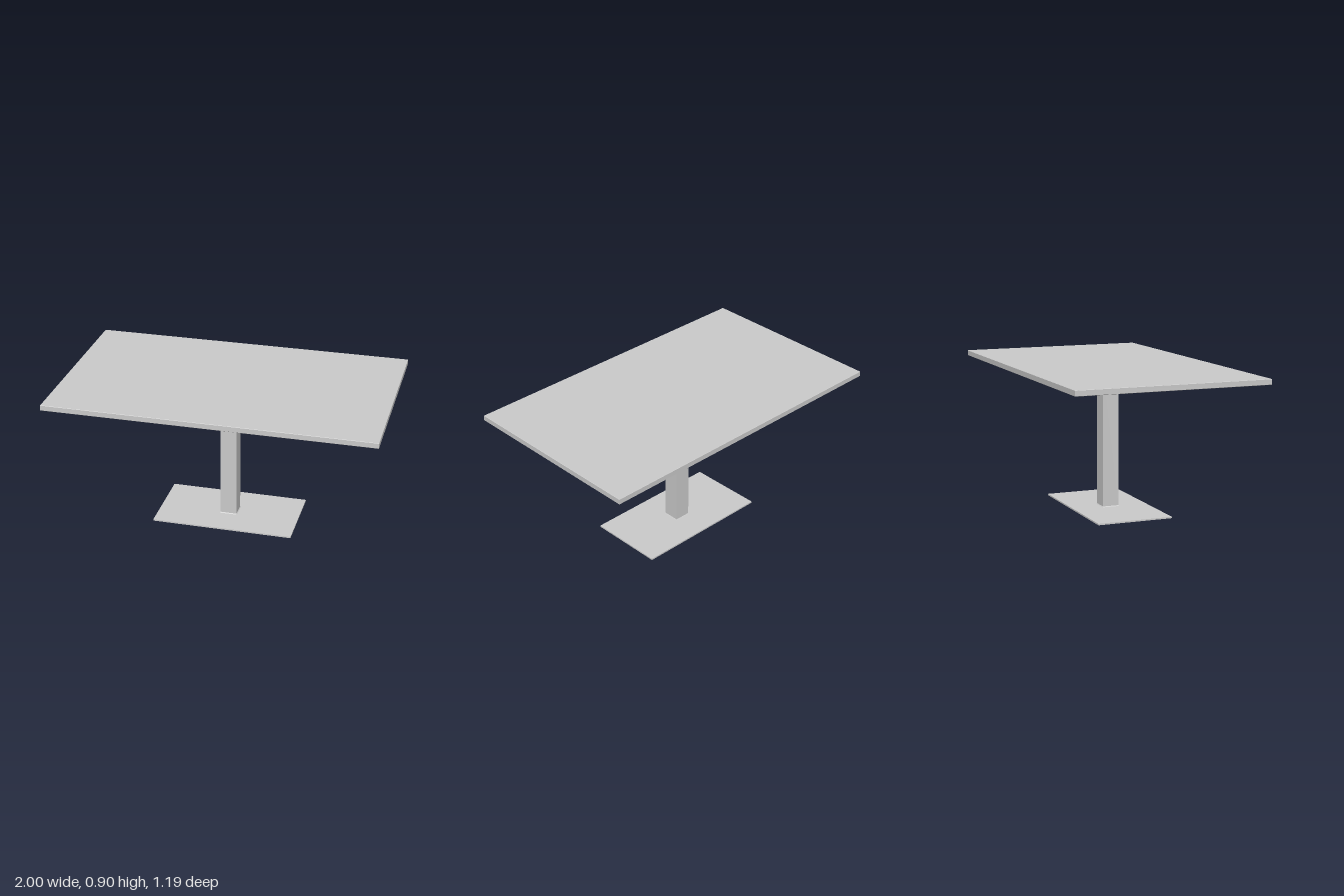
import * as THREE from 'three';

const material = new THREE.MeshStandardMaterial({ color: 0xcccccc });

// Rectangle outline centred on the origin
function rect(Type, w, d) {
  const x = w / 2, z = d / 2;
  return new Type([[-x, -z], [x, -z], [x, z], [-x, z]].map(([a, b]) => new THREE.Vector2(a, b)));
}

// Horizontal slab from y0 to y1, with an optional square hole and a small edge bevel
function slab(name, w, d, y0, y1, hole = 0, bevel = 0) {
  const shape = rect(THREE.Shape, w - 2 * bevel, d - 2 * bevel);
  if (hole) shape.holes.push(rect(THREE.Path, hole, hole));
  const geometry = new THREE.ExtrudeGeometry(shape, {
    depth: y1 - y0 - 2 * bevel,
    bevelEnabled: bevel > 0,
    bevelSize: bevel,
    bevelThickness: bevel,
    bevelSegments: 1,
  });
  geometry.rotateX(-Math.PI / 2);
  geometry.translate(0, y0 + bevel, 0);
  const mesh = new THREE.Mesh(geometry, material);
  mesh.name = name;
  return mesh;
}

export function createModel() {
  const group = new THREE.Group();
  group.name = 'pedestalTable';
  const bore = 0.096;

  group.add(
    slab('tableTop', 2, 1.194, 0.868, 0.902, 0, 0.002),
    slab('mountingPlate', 0.37, 0.338, 0.857, 0.868),
    // Hollow square column, open at the bottom through the base
    slab('column', 0.102, 0.102, 0.001, 0.857, bore),
    slab('basePlate', 0.88, 0.478, 0, 0.009, bore),
  );

  // Sloped weld seam around the foot of the column
  const profile = [[0.055, 0.009], [0.051, 0.014]];
  const weldGeometry = new THREE.LatheGeometry(
    profile.map(([half, y]) => new THREE.Vector2(half * Math.SQRT2, y)), 4, Math.PI / 4,
  ).toNonIndexed();
  weldGeometry.computeVertexNormals();
  const weld = new THREE.Mesh(weldGeometry, material);
  weld.name = 'weldSeam';
  group.add(weld);

  return group;
}
